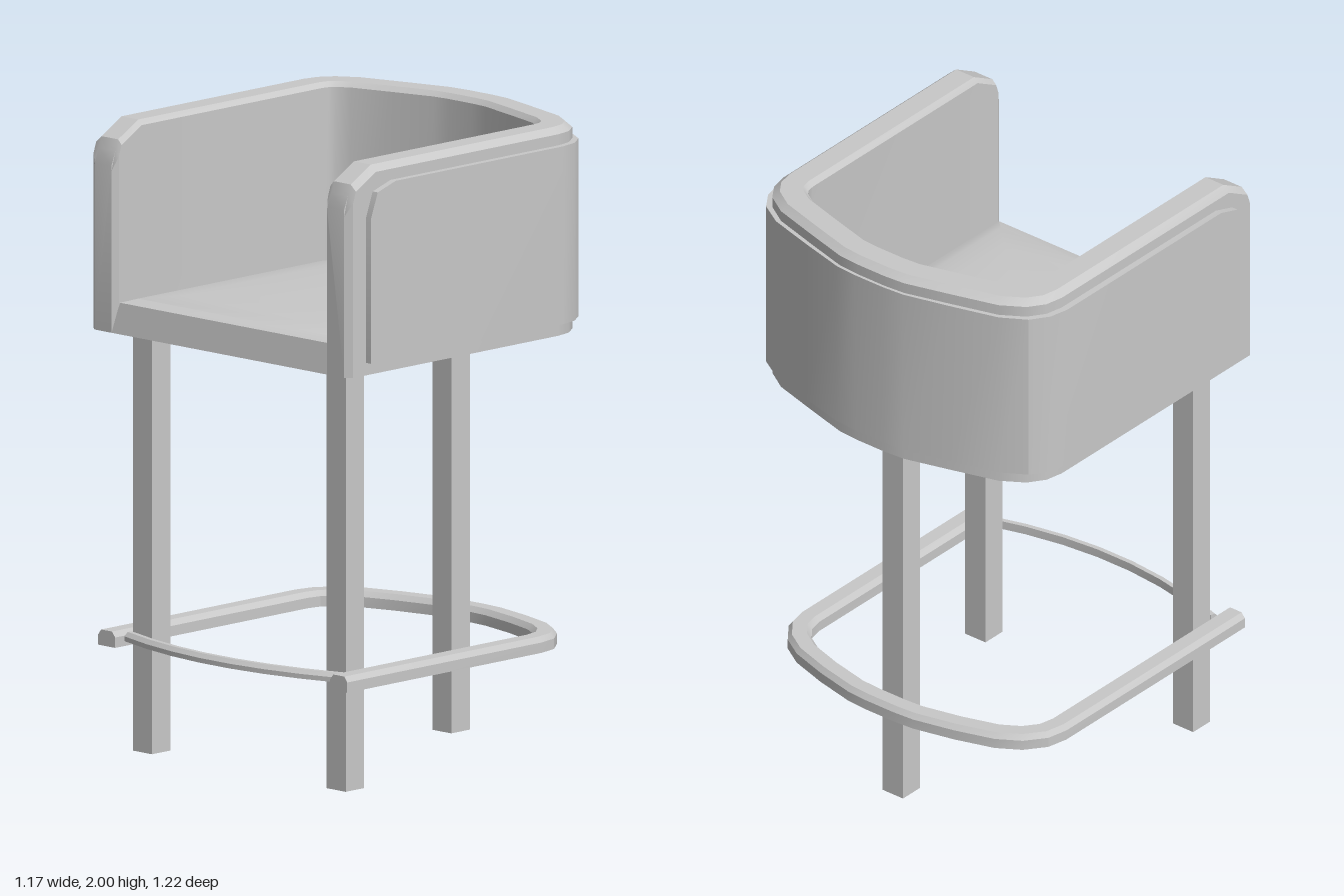
import * as THREE from 'three';
import { toCreasedNormals } from 'three/addons/utils/BufferGeometryUtils.js';

const grey = new THREE.MeshStandardMaterial({ color: 0xc8c8c8, side: THREE.DoubleSide });
grey.name = 'plainGrey';

// Join rings of points with quads; optionally close each ring and cap both ends.
function loft(rings, closed, caps) {
  const v = [];
  const tri = (a, b, c) => v.push(...a, ...b, ...c);
  const n = rings[0].length;
  for (let i = 0; i < rings.length - 1; i++) {
    for (let j = 0; j < (closed ? n : n - 1); j++) {
      const k = (j + 1) % n;
      const a = rings[i][j], b = rings[i + 1][j], c = rings[i + 1][k], d = rings[i][k];
      tri(a, b, c);
      tri(a, c, d);
    }
  }
  if (caps) {
    const s = rings[0], e = rings[rings.length - 1];
    for (let j = 1; j < n - 1; j++) {
      tri(s[0], s[j], s[j + 1]);
      tri(e[0], e[j + 1], e[j]);
    }
  }
  const g = new THREE.BufferGeometry();
  g.setAttribute('position', new THREE.Float32BufferAttribute(v, 3));
  return toCreasedNormals(g, 0.42);
}

// Sweep a section of [outward offset, y] along a path of [x, z] with mitred corners.
function sweep(path, sectionAt, closed = false) {
  const normal = (p, q) => {
    const l = Math.hypot(q[0] - p[0], q[1] - p[1]);
    return [-(q[1] - p[1]) / l, (q[0] - p[0]) / l];
  };
  const last = path.length - 1;
  const rings = path.map((p, i) => {
    const a = normal(path[Math.max(i - 1, 0)], path[Math.max(i, 1)]);
    const b = normal(path[Math.min(i, last - 1)], path[Math.min(i + 1, last)]);
    const m = 1 + a[0] * b[0] + a[1] * b[1];
    const nx = (a[0] + b[0]) / m, nz = (a[1] + b[1]) / m;
    return sectionAt(Math.min(i, last - i)).map(([d, y]) => [p[0] + nx * d, y, p[1] + nz * d]);
  });
  return loft(rings, closed, true);
}

// Complete a half path (front of the +x side to the back) with its mirror image.
const mirrored = (half) => [...half, ...half.map(([x, z]) => [-x, z]).reverse()];

export function createModel() {
  const group = new THREE.Group();
  const add = (name, geometry, x = 0, y = 0, z = 0) => {
    const mesh = new THREE.Mesh(geometry, grey);
    mesh.name = name;
    mesh.position.set(x, y, z);
    group.add(mesh);
  };

  // Wraparound arms and back: hollow, open below, clipped at the front corners
  const shellTops = [1.87, 1.915, 1.95, 2];
  const shellHalf = [[0.563, 0.585], [0.563, 0.567], [0.563, 0.555], [0.563, 0.465],
    [0.563, -0.35], [0.551, -0.41], [0.514, -0.463], [0.44, -0.51],
    [0.28, -0.556], [0.13, -0.597], [0.055, -0.603]];
  add('armsAndBack', sweep(mirrored(shellHalf), (i) => {
    const t = shellTops[Math.min(i, 3)];
    const inset = i === 0 ? 0.022 : 0;
    return [[-inset, 1.34], [-inset, t - 0.02], [-0.023, t],
      [-0.095, t], [-0.11 + inset * 0.65, t - 0.016], [-0.11 + inset * 0.65, 1.34]];
  }));

  // Thin outer panel wrapped around the shell
  const panelTops = [1.84, 1.92, 1.945];
  const panelHalf = [[0.585, 0.51], [0.585, 0.48], [0.585, 0.4],
    [0.585, -0.35], [0.571, -0.415], [0.531, -0.473], [0.45, -0.522],
    [0.29, -0.567], [0.135, -0.607], [0.055, -0.613]];
  add('outerPanel', sweep(mirrored(panelHalf), (i) => {
    const t = panelTops[Math.min(i, 2)];
    return [[-0.03, 1.38], [0, 1.38], [0, t], [-0.03, t]];
  }));

  // Seat cushion: stacked outlines drawn in towards a softly domed top
  const seatOutline = mirrored([[0.47, 0.585], [0.47, -0.34], [0.455, -0.385], [0.41, -0.425],
    [0.28, -0.463], [0.13, -0.495], [0.055, -0.498]]);
  const seatRing = (inset, y) => seatOutline.map(([x, z]) =>
    [x * (1 - inset / 0.47), y, 0.05 + (z - 0.05) * (1 - inset / 0.535)]);
  add('seat', loft([[0, 1.34], [0.02, 1.435], [0.06, 1.448], [0.15, 1.457], [0.3, 1.463]]
    .map(([inset, y]) => seatRing(inset, y)), true, true));

  // Three square tube legs
  const leg = new THREE.CylinderGeometry(0.0825 / Math.SQRT2, 0.0825 / Math.SQRT2, 1.325, 4, 1, true)
    .rotateY(Math.PI / 4);
  const legGeometry = toCreasedNormals(leg, 0.4);
  add('frontLeftLeg', legGeometry, 0.418, 0.6625, 0.452);
  add('frontRightLeg', legGeometry, -0.422, 0.6625, 0.452);
  add('backLeg', legGeometry, 0.02, 0.6625, -0.43);

  // Foot rail around the sides and back, open below
  const railHalf = [[0.54, 0.57], [0.54, -0.3], [0.525, -0.37], [0.475, -0.435],
    [0.4, -0.482], [0.27, -0.523], [0.13, -0.555], [0.055, -0.56]];
  add('footRail', sweep(mirrored(railHalf), () =>
    [[0, 0.337], [0, 0.37], [-0.013, 0.387], [-0.06, 0.387], [-0.074, 0.37], [-0.074, 0.337]]));

  // Slim bowed bar across the front
  const bow = [];
  for (let i = 0; i <= 7; i++) {
    const x = -0.465 + (0.93 * i) / 7;
    bow.push([x, 0.53 + 0.08 * (1 - (x / 0.465) ** 2)]);
  }
  add('frontFootBar', sweep(bow, () =>
    [[0, 0.353], [0, 0.368], [-0.012, 0.381], [-0.028, 0.381], [-0.028, 0.353]], true));

  return group;
}
